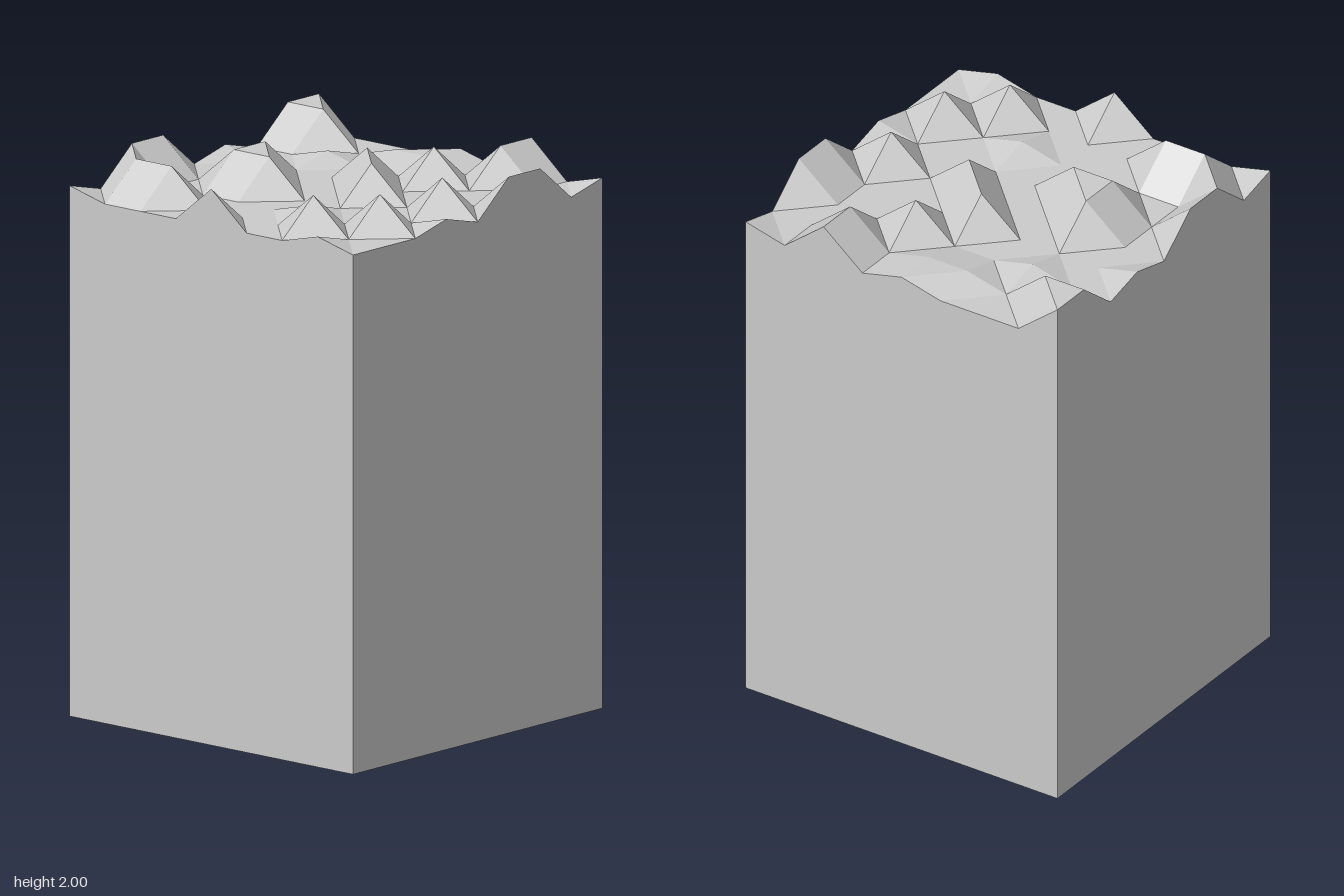
import * as THREE from 'three';

const N = 8, HALF = 0.66, BASE = 1.867;
const RISE = { 0: 0, 1: 0.04, 3: 0.133 };

// Height level at each grid point, back row first, left to right along x
const ROWS = [
  '103301033',
  '030000030',
  '030330100',
  '000300010',
  '300003011',
  '001030300',
  '030000033',
  '103030000',
  '000103301',
];

const level = (i, j) => Number(ROWS[j][i]);
const coord = (k) => -HALF + (2 * HALF * k) / N;
const top = (i, j) => [coord(i), BASE + RISE[level(i, j)], coord(j)];
const foot = (i, j) => [coord(i), 0, coord(j)];

function facetMesh(name, triangles) {
  const geometry = new THREE.BufferGeometry();
  geometry.setAttribute('position', new THREE.Float32BufferAttribute(triangles.flat(2), 3));
  geometry.computeVertexNormals();
  const mesh = new THREE.Mesh(geometry, new THREE.MeshStandardMaterial({ color: 0xcccccc, flatShading: true }));
  mesh.name = name;
  return mesh;
}

// Rugged top: each cell is split along its more level diagonal
function terrain() {
  const tris = [];
  for (let j = 0; j < N; j++) {
    for (let i = 0; i < N; i++) {
      const a = top(i, j), b = top(i + 1, j), c = top(i, j + 1), d = top(i + 1, j + 1);
      if (Math.abs(b[1] - c[1]) <= Math.abs(a[1] - d[1])) tris.push([a, c, b], [b, c, d]);
      else tris.push([a, c, d], [a, d, b]);
    }
  }
  return facetMesh('terrainTop', tris);
}

// Upright wall whose upper edge follows the terrain; at(k) gives the grid point
function wall(name, at) {
  const tris = [];
  for (let k = 0; k < N; k++) {
    const p = at(k), q = at(k + 1);
    tris.push([foot(...p), foot(...q), top(...q)], [foot(...p), top(...q), top(...p)]);
  }
  return facetMesh(name, tris);
}

export function createModel() {
  const group = new THREE.Group();
  group.name = 'terrainBlock';
  group.add(
    terrain(),
    wall('frontWall', (k) => [k, N]),
    wall('leftWall', (k) => [N, N - k]),
    wall('backWall', (k) => [N - k, 0]),
    wall('rightWall', (k) => [0, k]),
  );

  // Flat underside
  const a = foot(0, 0), b = foot(N, 0), c = foot(0, N), d = foot(N, N);
  group.add(facetMesh('underside', [[a, b, c], [b, d, c]]));
  return group;
}
